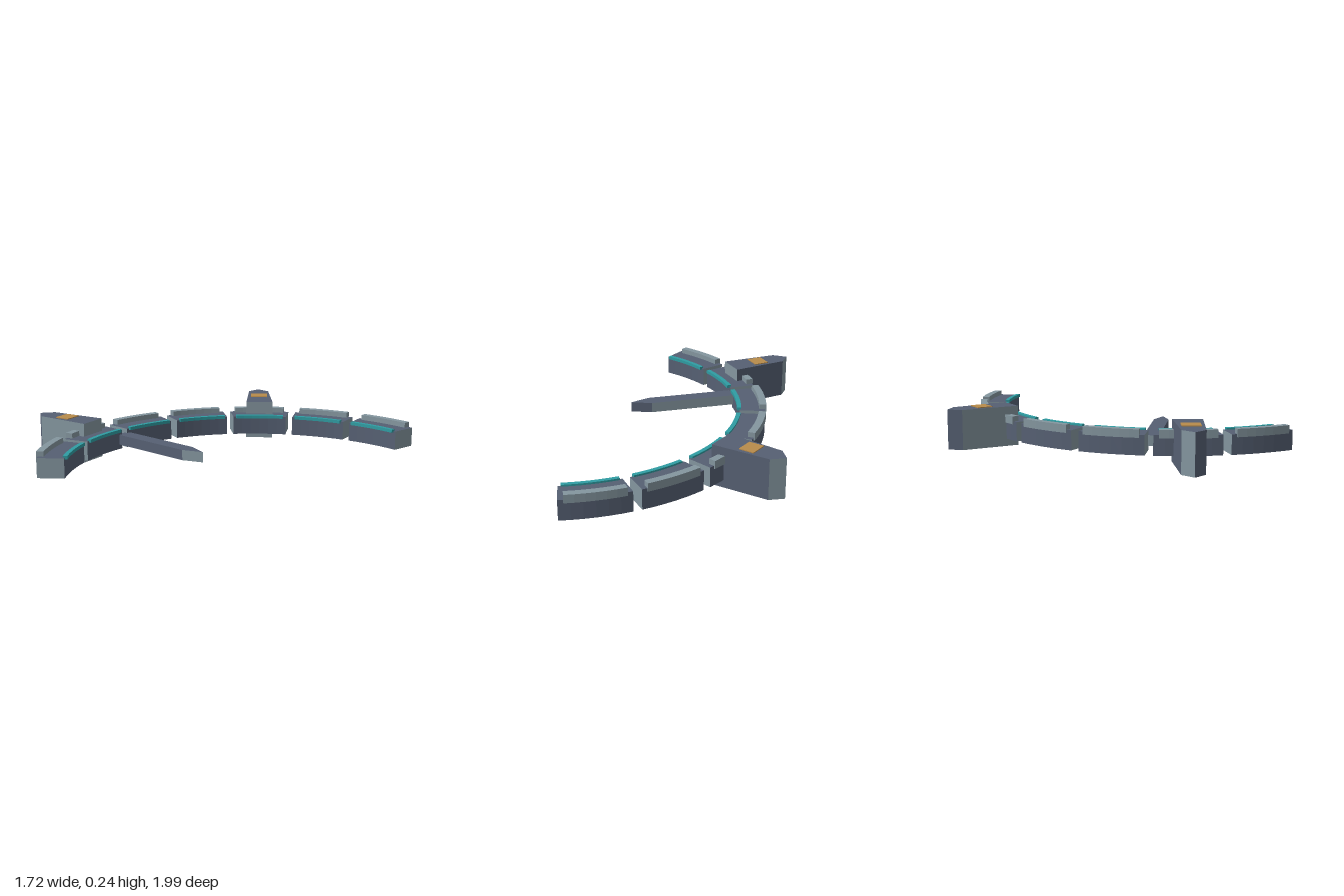
import * as THREE from 'three';

const CX = 0.665, CZ = 0.225; // centre of the arc
const RAD = Math.PI / 180;

function material(name, color) {
  const m = new THREE.MeshStandardMaterial({ color });
  m.name = name;
  return m;
}

// Upright prism over a counter-clockwise outline of [x, -z] points;
// accent(k) is true for the side faces that take the second material.
function prism(name, outline, y0, y1, main, second = main, accent = () => false) {
  const shape = new THREE.Shape(outline.map(([x, y]) => new THREE.Vector2(x, y)));
  const geo = new THREE.ExtrudeGeometry(shape, { depth: y1 - y0, bevelEnabled: false });
  const start = geo.groups[1].start, n = outline.length;
  geo.clearGroups();
  geo.addGroup(0, start, 0);
  // the extruder writes side walls from the last edge back to the first
  for (let j = 0; j < n; j++) {
    const edge = (2 * n - 2 - j) % n;
    geo.addGroup(start + j * 6, 6, accent(edge) ? 1 : 0);
  }
  geo.rotateX(-Math.PI / 2);
  geo.translate(0, y0, 0);
  const mesh = new THREE.Mesh(geo, [main, second]);
  mesh.name = name;
  return mesh;
}

// Outline of a ring sector around the origin, angles in degrees
function sector(rIn, rOut, mid, half, steps) {
  const pts = [];
  const add = (r, t) => {
    const a = (mid + half * t) * RAD;
    pts.push([r * Math.cos(a), r * Math.sin(a)]);
  };
  for (let i = 0; i <= steps; i++) add(rOut, -1 + (2 * i) / steps);
  for (let i = steps; i >= 0; i--) add(rIn, -1 + (2 * i) / steps);
  return pts;
}

// Pointed blade lying along +x
function bladeOutline(x0, shoulder, tip, h0, h1) {
  return [[x0, -h0], [shoulder, -h1], [tip, 0], [shoulder, h1], [x0, h0]];
}

export function createModel() {
  const slate = material('slate', 0x566073);
  const steel = material('steel', 0x84969f);
  const teal = material('teal', 0x2f9da3);
  const amber = material('amber', 0xb88b4b);

  const model = new THREE.Group();
  model.name = 'segmentedArc';
  const ring = new THREE.Group();
  ring.name = 'ring';
  ring.position.set(CX, 0, CZ);
  model.add(ring);

  // Seven hull segments, each with an outer rail and a glowing inner strip
  const steps = 6;
  for (let i = 0; i < 7; i++) {
    const mid = 90 + i * 20;
    const segment = new THREE.Group();
    segment.name = 'segment' + (i + 1);
    segment.add(
      prism('hull', sector(1.068, 1.22, mid, 8.9, steps), 0.043, 0.156, slate, steel,
        (k) => k === steps || k === 2 * steps + 1),
      prism('outerRail', sector(1.185, 1.227, mid, 7.5, steps), 0.14, 0.186, steel),
      prism('innerStrip', sector(1.053, 1.078, mid, 8, steps), 0.147, 0.166, teal)
    );
    ring.add(segment);
  }

  // Two tapered fins pointing outwards, each with a plate on top
  const alternate = (k) => k % 2 === 0;
  for (const angle of [130, 190]) {
    const fin = new THREE.Group();
    fin.name = 'fin';
    fin.add(prism('finBody', bladeOutline(1.144, 1.486, 1.55, 0.084, 0.064), 0, 0.233, slate, steel, alternate));
    const plate = new THREE.Mesh(new THREE.BoxGeometry(0.09, 0.008, 0.105), amber);
    plate.name = 'finPlate';
    plate.position.set(1.337, 0.234, 0);
    fin.add(plate);
    fin.rotation.y = angle * RAD;
    ring.add(fin);
  }

  // Long pointed arm reaching inwards
  const arm = prism('arm', bladeOutline(-0.42, 0.115, 0.232, 0.044, 0.044), 0.07, 0.13, slate, steel, alternate);
  arm.position.z = CZ - 0.002;
  model.add(arm);

  return model;
}
